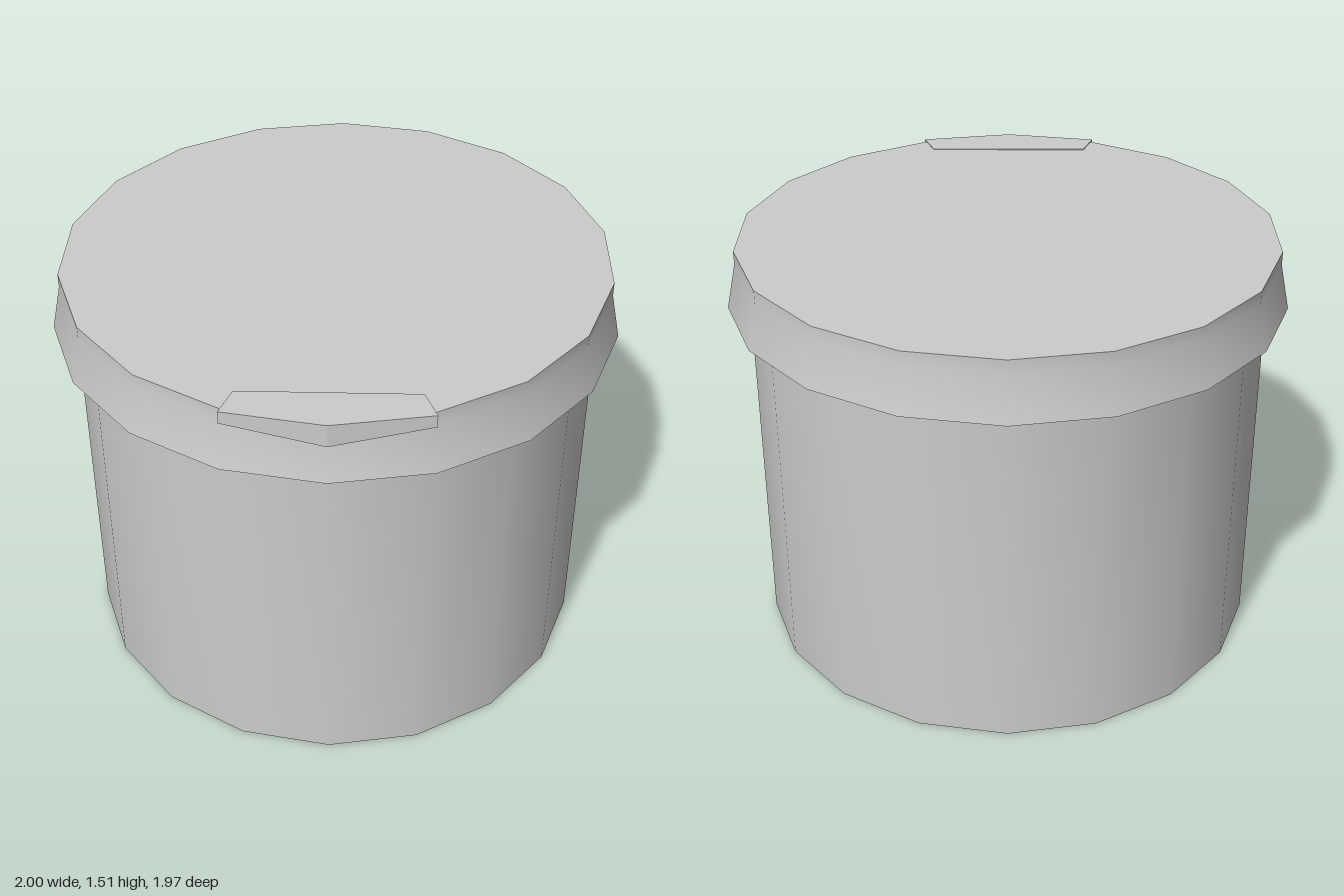
import * as THREE from 'three';
import { toCreasedNormals } from 'three/addons/utils/BufferGeometryUtils.js';
import { ConvexGeometry } from 'three/addons/geometries/ConvexGeometry.js';

const SIDES = 18;
const material = new THREE.MeshStandardMaterial({ color: 0xcccccc });

// Closed solid of revolution with a corner on the x axis
function turned(name, profile) {
  const points = profile.map(([r, y]) => new THREE.Vector2(r, y));
  const geometry = new THREE.LatheGeometry(points, SIDES, Math.PI / 2);
  const mesh = new THREE.Mesh(toCreasedNormals(geometry, 0.6), material);
  mesh.name = name;
  return mesh;
}

// Pull tab wrapped round two facets of the lid, with a V-shaped lower edge
function pullTab() {
  const points = [];
  for (const [degrees, bottom] of [[80, 1.468], [100, 1.43], [120, 1.468]]) {
    const a = THREE.MathUtils.degToRad(degrees);
    for (const r of [0.87, 0.985]) {
      for (const y of [bottom, 1.513]) {
        points.push(new THREE.Vector3(r * Math.cos(a), y, r * Math.sin(a)));
      }
    }
  }
  const mesh = new THREE.Mesh(new ConvexGeometry(points), material);
  mesh.name = 'pullTab';
  return mesh;
}

export function createModel() {
  const group = new THREE.Group();
  group.name = 'tub';
  group.add(
    turned('body', [[0, 0], [0.922, 0], [0.922, 1.32], [0, 1.32]]),
    // Lid with a flared skirt and a short straight rim
    turned('lid', [[0, 1.297], [1, 1.297], [0.965, 1.46], [0.965, 1.51], [0, 1.51]]),
    pullTab()
  );
  return group;
}
